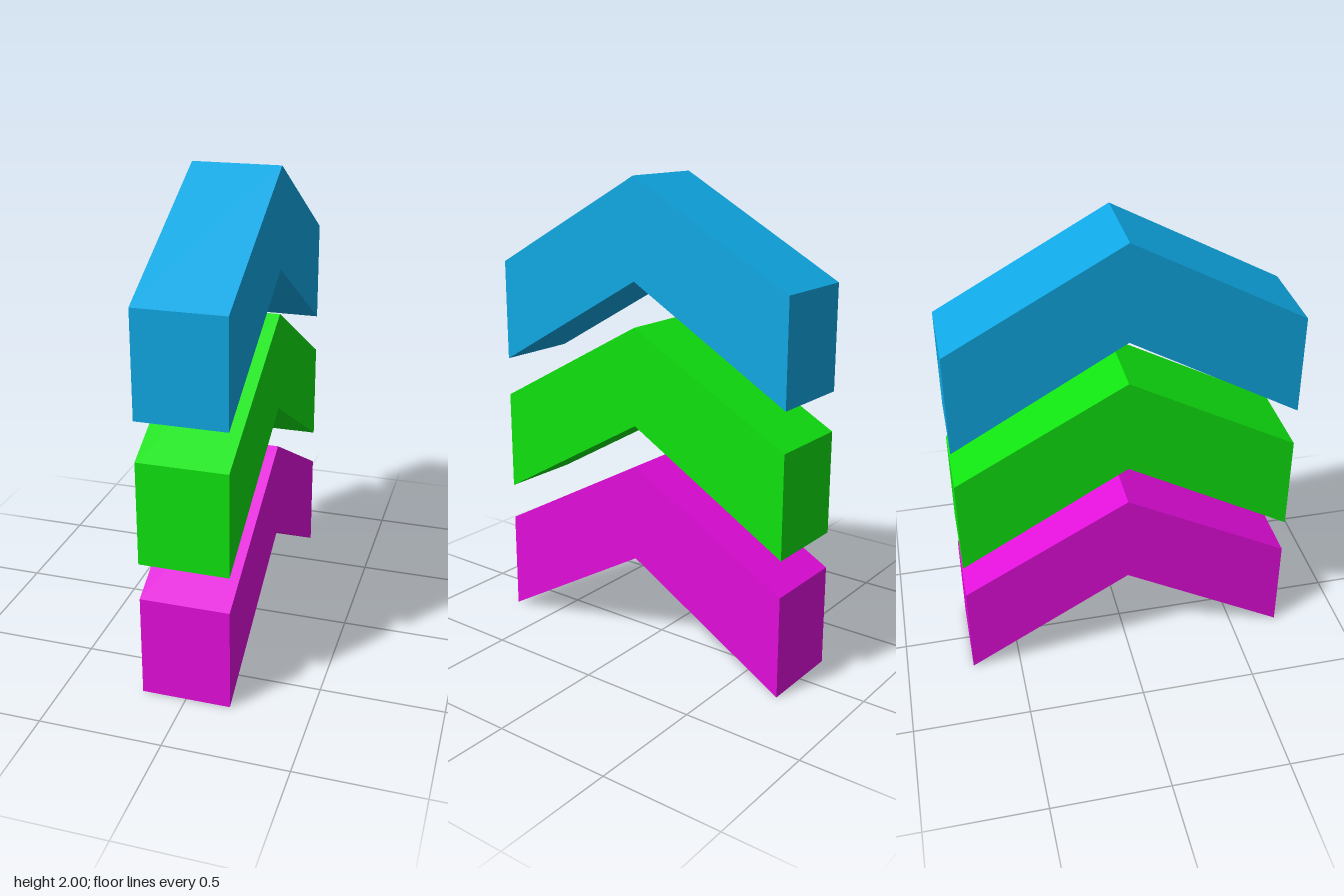
import * as THREE from 'three';

const HALF_SPAN = 0.71;
const WIDTH = 0.365;

// Chevron side profile, extruded across the width and centred on x
function chevronGeometry() {
  const shape = new THREE.Shape([
    [-HALF_SPAN, 0], [0, 0.41], [HALF_SPAN, 0],
    [HALF_SPAN, 0.43], [0, 0.82], [-HALF_SPAN, 0.43],
  ].map(([x, y]) => new THREE.Vector2(x, y)));
  const geometry = new THREE.ExtrudeGeometry(shape, { depth: WIDTH, bevelEnabled: false });
  geometry.translate(0, 0, -WIDTH / 2);
  geometry.rotateY(Math.PI / 2);
  return geometry;
}

function material(name, color) {
  const m = new THREE.MeshStandardMaterial({ color });
  m.name = name;
  return m;
}

export function createModel() {
  const group = new THREE.Group();
  group.name = 'chevronStack';
  const geometry = chevronGeometry();

  // Three identical chevrons, bottom to top
  const layers = [
    ['lowerChevron', 0, material('magenta', 0xe20ddb)],
    ['middleChevron', 0.585, material('green', 0x0fe30f)],
    ['upperChevron', 1.18, material('blue', 0x0fa8e4)],
  ];
  for (const [name, y, mat] of layers) {
    const mesh = new THREE.Mesh(geometry, mat);
    mesh.name = name;
    mesh.position.y = y;
    group.add(mesh);
  }
  return group;
}
